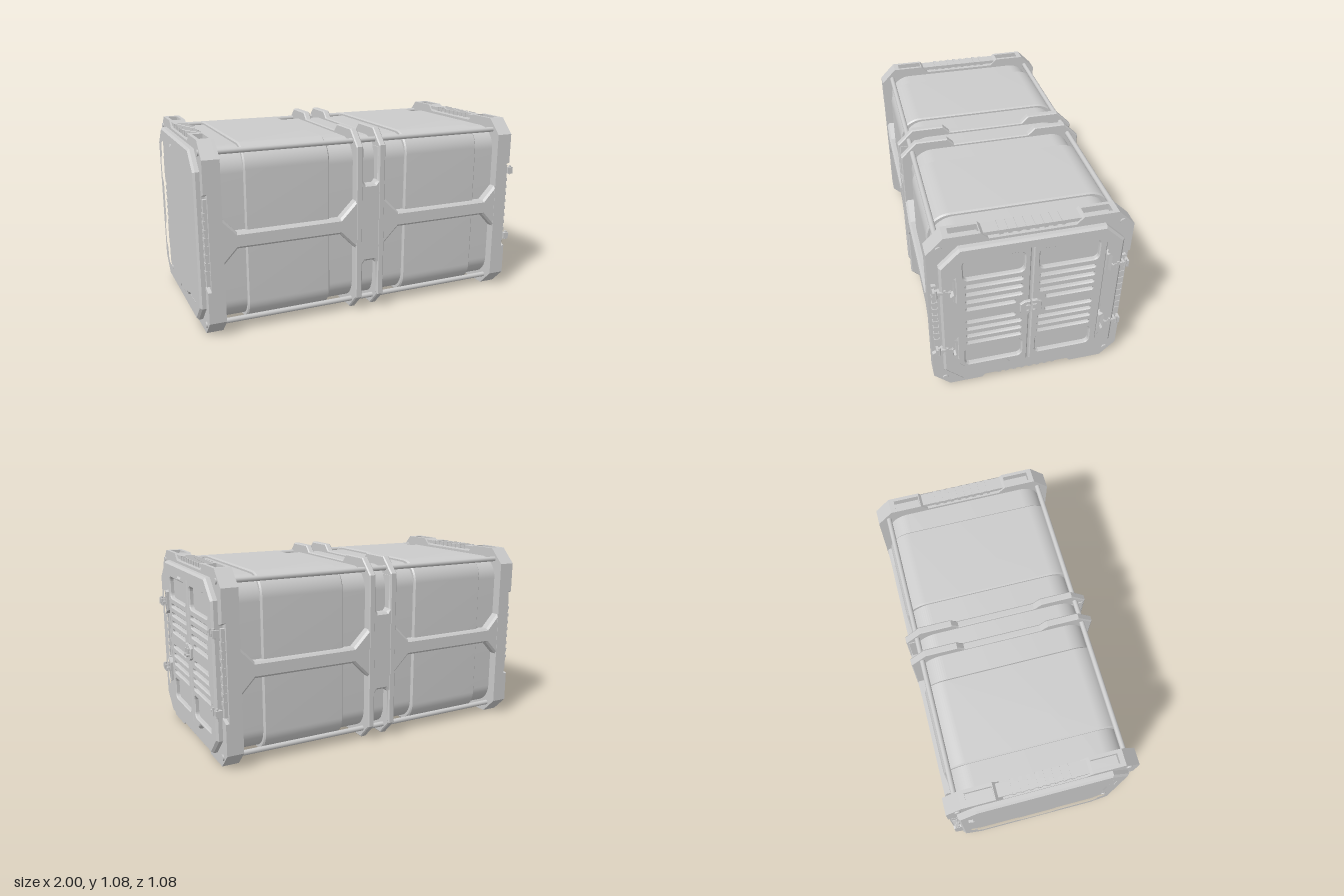
import * as THREE from 'three';
import { toCreasedNormals } from 'three/addons/utils/BufferGeometryUtils.js';

const material = new THREE.MeshStandardMaterial({ color: 0xcccccc });

function add(parent, name, geometry, x = 0, y = 0, z = 0) {
  const mesh = new THREE.Mesh(geometry, material);
  mesh.name = name;
  mesh.position.set(x, y, z);
  parent.add(mesh);
  return mesh;
}

const box = (w, h, d) => new THREE.BoxGeometry(w, h, d);
const polygon = (pts) => new THREE.Shape(pts.map(([a, b]) => new THREE.Vector2(a, b)));

// Mirrors the points of one quadrant into a closed, doubly symmetric outline.
function quad(q) {
  const r = [...q].reverse();
  return polygon([
    ...q,
    ...r.map(([a, b]) => [a, -b]),
    ...q.map(([a, b]) => [-a, -b]),
    ...r.map(([a, b]) => [-a, b]),
  ]);
}

function roundRect(cx, cy, w, h, r) {
  const s = new THREE.Shape();
  const a = w / 2 - r, b = h / 2 - r;
  s.absarc(cx + a, cy + b, r, 0, Math.PI / 2);
  s.absarc(cx - a, cy + b, r, Math.PI / 2, Math.PI);
  s.absarc(cx - a, cy - b, r, Math.PI, Math.PI * 1.5);
  s.absarc(cx + a, cy - b, r, Math.PI * 1.5, Math.PI * 2);
  s.closePath();
  return s;
}

// Extrudes a shape from depth a to b, with the bevel kept inside the outline.
function slab(shape, a, b, bevel = 0) {
  const geometry = new THREE.ExtrudeGeometry(shape, {
    depth: b - a - 2 * bevel, bevelEnabled: bevel > 0, bevelThickness: bevel,
    bevelSize: bevel, bevelOffset: -bevel, bevelSegments: 1, curveSegments: 8,
  });
  return toCreasedNormals(geometry.translate(0, 0, a + bevel), 0.5);
}

// The same, with the depth along x and the shape's first axis along -z.
const slabX = (...args) => slab(...args).rotateY(Math.PI / 2);

// Quadrant outlines (across, up), measured from the centre of the container
const RING = [[0.225, 0.5], [0.265, 0.54], [0.45, 0.54], [0.54, 0.45]];
const POCKETED = [[0.225, 0.5], [0.265, 0.54], [0.27, 0.54], [0.27, 0.505], [0.42, 0.505],
  [0.42, 0.54], [0.45, 0.54], [0.54, 0.45]];
const LIP = [...RING, [0.54, 0.27], [0.488, 0.25]];
const OPENING = [[0.11, 0.44], [0.135, 0.415], [0.37, 0.415], [0.41, 0.375], [0.41, 0.315],
  [0.447, 0.285], [0.447, 0.155], [0.41, 0.12]];
const SIDE = [[0.03, 0.23], [0.045, 0.25], [0.045, 0.44], [0.09, 0.44], [0.09, 0.14],
  [0.185, 0.045], [0.785, 0.045], [0.87, 0.135], [0.87, 0.44], [0.9, 0.44]];

function holed(q, holeQ) {
  const shape = quad(q);
  shape.holes.push(quad(holeQ));
  return shape;
}

// Ribbed grip bar running along z
function makeGrip(length, width, height) {
  const grip = new THREE.Group();
  add(grip, 'gripBar', box(width, height, length));
  for (let i = 0; i < 8; i++) {
    add(grip, 'gripRidge', box(width + 0.008, height + 0.006, 0.02), 0, 0, (i - 3.5) * 0.046);
  }
  return grip;
}

// Frame, bezel, bolts and grips shared by both ends, facing +x
function makeEnd(name) {
  const end = new THREE.Group();
  end.name = name;
  const hole = [[0.36, 0.46], [0.46, 0.36]];
  add(end, 'frameInnerLip', slabX(holed(RING, hole), 0.865, 0.885));
  add(end, 'frameCore', slabX(holed(POCKETED, hole), 0.885, 0.94));
  add(end, 'frameOuterLip', slabX(holed(LIP, hole), 0.94, 0.96));
  add(end, 'bezel', slabX(holed([[0.38, 0.485], [0.485, 0.38]], OPENING), 0.92, 0.995, 0.012));

  for (const s of [-1, 1]) {
    for (const t of [-1, 1]) {
      const bolt = new THREE.CylinderGeometry(0.017, 0.017, 0.012, 16).rotateZ(Math.PI / 2);
      add(end, 'bolt', bolt, 0.962, s * 0.478, t * 0.475);
    }
    const grip = makeGrip(0.5, 0.075, 0.02);
    grip.name = s > 0 ? 'topGrip' : 'bottomGrip';
    grip.position.set(0.912, s * 0.522, 0);
    end.add(grip);

    const sideGrip = makeGrip(0.48, 0.022, 0.024);
    sideGrip.name = 'sideGrip';
    sideGrip.rotation.x = Math.PI / 2;
    sideGrip.position.set(0.949, 0, s * 0.511);
    end.add(sideGrip);
  }
  return end;
}

// Door leaf with pressed pockets and louvre slots
function makeLeaf() {
  const shape = polygon([[0.006, 0.435], [0.105, 0.435], [0.13, 0.407], [0.365, 0.407],
    [0.402, 0.37], [0.402, -0.37], [0.365, -0.407], [0.13, -0.407], [0.105, -0.435], [0.006, -0.435]]);
  for (const s of [-1, 1]) {
    shape.holes.push(roundRect(0.2, s * 0.322, 0.32, 0.13, 0.028));
    [0.048, 0.102, 0.156, 0.21].forEach((y, i) => {
      const inner = i === 0 ? 0.085 : 0.048;
      shape.holes.push(roundRect((inner + 0.348) / 2, s * y, 0.348 - inner, 0.017, 0.008));
    });
  }
  return slabX(shape, 0.935, 0.975, 0.006);
}

// Hinge and its guard bracket on the side of negative z
function makeHinge() {
  const hinge = new THREE.Group();
  hinge.name = 'hinge';
  const guard = polygon([[0.402, -0.045], [0.442, -0.072], [0.442, 0.06], [0.428, 0.08], [0.402, 0.07]]);
  guard.holes.push(polygon([[0.412, -0.035], [0.432, -0.05], [0.432, 0.055], [0.424, 0.067], [0.412, 0.06]]));
  add(hinge, 'hingeGuard', slabX(guard, 0.95, 0.988));
  add(hinge, 'hingeArm', box(0.014, 0.014, 0.09), 0.992, 0, -0.475);
  for (const [z, h] of [[-0.438, 0.012], [-0.462, 0.045], [-0.492, 0.03], [-0.516, 0.04]]) {
    add(hinge, 'hingeKnuckle', box(0.035, h, 0.012), 0.987, 0, z);
  }
  add(hinge, 'hingePin', new THREE.CylinderGeometry(0.008, 0.008, 0.055, 10), 0.994, 0, -0.505);
  return hinge;
}

export function createModel() {
  const model = new THREE.Group();
  model.name = 'cargoContainer';
  const root = new THREE.Group();
  root.name = 'container';
  root.position.set(-0.005, 0.54, 0);
  model.add(root);

  // Rounded hull with a raised band in each bay
  add(root, 'hull', slabX(roundRect(0, 0, 0.97, 0.97, 0.13), -0.93, 0.93));
  for (const s of [-1, 1]) {
    const x = s * 0.485;
    add(root, 'hullBand', slabX(roundRect(0, 0, 1.006, 1.006, 0.13), x - 0.245, x + 0.245, 0.008));
    add(root, 'centreRib', slabX(quad(RING), s * 0.07 - 0.02, s * 0.07 + 0.02, 0.006));
    const plate = add(root, 'sideFrame', slab(quad(SIDE), 0.45, 0.538, 0.012));
    plate.rotation.y = s > 0 ? 0 : Math.PI;
    for (const t of [-1, 1]) {
      const rod = new THREE.CylinderGeometry(0.015, 0.015, 1.8, 12).rotateZ(Math.PI / 2);
      add(root, 'cornerRod', rod, 0, s * 0.476, t * 0.473);
    }
  }

  // Closed end
  const back = makeEnd('closedEnd');
  back.rotation.y = Math.PI;
  add(back, 'endPanel', slabX(quad(OPENING), 0.92, 0.978));
  root.add(back);

  // Door end
  const front = makeEnd('doorEnd');
  add(front, 'doorBacking', slabX(quad(OPENING), 0.92, 0.95));
  root.add(front);
  const leaf = makeLeaf();
  for (const s of [-1, 1]) {
    const side = new THREE.Group();
    side.name = s > 0 ? 'doorRight' : 'doorLeft';
    side.scale.z = s;
    add(side, 'doorLeaf', leaf);
    for (const t of [-1, 1]) {
      const hinge = makeHinge();
      hinge.position.y = t * 0.215;
      hinge.scale.y = t;
      side.add(hinge);
    }
    // Half of the central latch
    const latch = polygon([[0.004, 0.045], [0.035, 0.045], [0.06, 0.028], [0.06, -0.028],
      [0.035, -0.045], [0.004, -0.045]]);
    latch.holes.push(polygon([[0.036, 0.03], [0.05, 0.02], [0.05, -0.02], [0.036, -0.03]]));
    add(side, 'latchPlate', slabX(latch, 0.97, 0.99, 0.003));
    add(side, 'latchGrip', box(0.016, 0.03, 0.022), 0.99, 0.008, -0.018);
    const knob = new THREE.CylinderGeometry(0.009, 0.009, 0.02, 12).rotateZ(Math.PI / 2);
    add(side, 'latchKnob', knob, 0.994, -0.016, -0.018);
    front.add(side);
  }
  return model;
}
